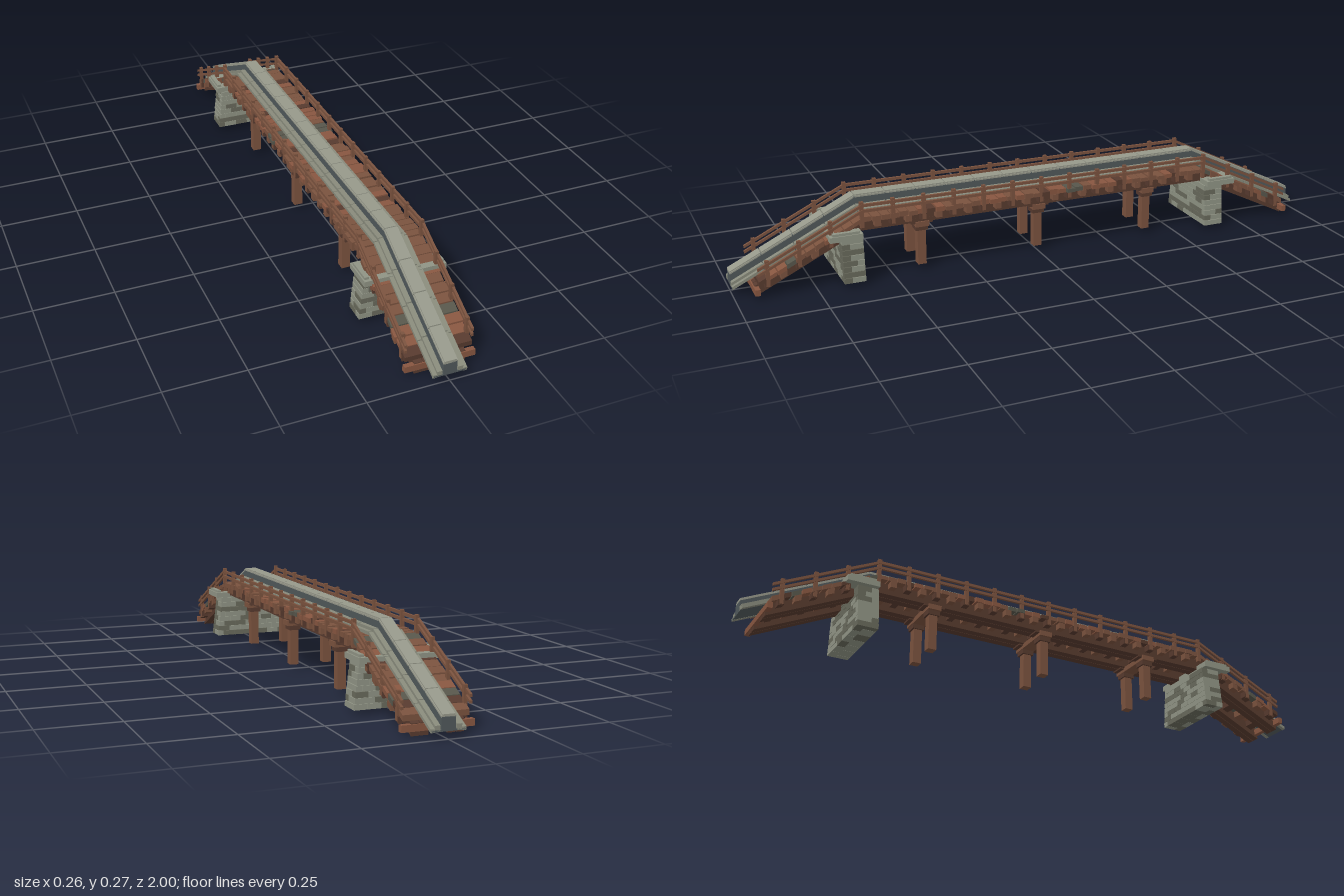
import * as THREE from 'three';

const SLOPE = 0.4825, BEND = 0.6;
// height drop of the bridge line: level in the middle, ramps at both ends
const drop = z => -Math.max(0, Math.abs(z) - BEND) * SLOPE;

export function createModel() {
  const root = new THREE.Group();
  let seed = 7;
  const rand = () => (seed = (seed * 16807) % 2147483647) / 2147483647;
  const mat = (name, color) => {
    const m = new THREE.MeshStandardMaterial({ color });
    m.name = name;
    return m;
  };
  const M = {
    wood: mat('brown timber', 0x7a523e),
    rust: mat('reddish timber', 0x875640),
    dark: mat('dark timber', 0x573a2e),
    grey: mat('weathered timber', 0x57564b),
    pale: mat('pale concrete', 0x96988a),
    conc: mat('concrete', 0x888a7b),
    steel: mat('dark side wall', 0x50585a),
    stone: mat('light stone', 0x8f9384),
    stone2: mat('dark stone', 0x68695b),
  };
  const group = name => {
    const g = new THREE.Group();
    g.name = name;
    root.add(g);
    return g;
  };
  const box = (parent, name, m, x0, x1, y0, y1, z0, z1) => {
    const mesh = new THREE.Mesh(new THREE.BoxGeometry(x1 - x0, y1 - y0, z1 - z0), m);
    mesh.position.set((x0 + x1) / 2, (y0 + y1) / 2, (z0 + z1) / 2);
    mesh.name = name;
    parent.add(mesh);
    return mesh;
  };
  // box whose ends follow the bridge line (must not span a bend)
  const slanted = (parent, name, m, x0, x1, y0, y1, z0, z1) => {
    const g = new THREE.BoxGeometry(x1 - x0, y1 - y0, z1 - z0);
    g.translate((x0 + x1) / 2, (y0 + y1) / 2, (z0 + z1) / 2);
    const p = g.attributes.position;
    for (let i = 0; i < p.count; i++) p.setY(i, p.getY(i) + drop(p.getZ(i)));
    g.computeVertexNormals();
    const mesh = new THREE.Mesh(g, m);
    mesh.name = name;
    parent.add(mesh);
  };
  // long member over both ramps and the level part
  const run = (parent, name, m, x0, x1, y0, y1, end) => {
    for (const [a, b] of [[-end, -BEND], [-BEND, BEND], [BEND, end]])
      slanted(parent, name, m, x0, x1, y0, y1, a, b);
  };

  // guide beam: dark web, pale top slabs and stepped flanges in 0.1 lengths
  const beam = group('guideBeam');
  run(beam, 'web', M.steel, -0.021, 0.021, 0.222, 0.257, 1);
  run(beam, 'beamBase', M.steel, -0.05, 0.05, 0.217, 0.222, 1);
  for (let i = -10; i < 10; i++) {
    const a = i / 10 + (i === -10 ? 0 : 0.0015);
    const b = (i + 1) / 10 - (i === 9 ? 0 : 0.0015);
    slanted(beam, 'topSlab', M.pale, -0.022, 0.022, 0.255, 0.26, a, b);
    slanted(beam, 'topSlab', M.pale, -0.019, 0.019, 0.26, 0.264, a, b);
    for (const s of [-1, 1]) {
      const side = (x0, x1, y0, y1) => slanted(beam, 'flange', M.conc,
        Math.min(s * x0, s * x1), Math.max(s * x0, s * x1), y0, y1, a, b);
      side(0.024, 0.04, 0.218, 0.235);
      side(0.04, 0.053, 0.216, 0.226);
    }
  }

  // deck planks with slightly uneven lengths and mixed timber
  const deck = group('deck');
  const planks = [M.wood, M.rust, M.wood, M.dark, M.rust, M.grey, M.wood];
  const pitch = 0.03;
  for (let i = 0; i < 62; i++) {
    const z = -0.93 + i * pitch;
    const w = 0.1 + rand() * 0.009, top = 0.213 + rand() * 0.005;
    slanted(deck, 'plank', planks[Math.floor(rand() * planks.length)],
      -w, w, 0.201, top, z + 0.0015, z + pitch - 0.0015);
  }

  // stringers and cross joists under the deck
  const frame = group('underframe');
  for (const s of [-1, 1])
    for (const x of [0.04, 0.067])
      run(frame, 'stringer', M.dark, s * x - 0.0125, s * x + 0.0125, 0.165, 0.2, 0.938);
  for (let i = -18; i <= 18; i++) {
    const z = i * 0.05;
    if (Math.abs(Math.abs(z) - BEND) < 0.01) continue;
    slanted(frame, 'joist', i % 2 ? M.wood : M.dark, -0.104, 0.104, 0.181, 0.201, z - 0.01, z + 0.01);
  }
  for (const s of [-1, 1])
    box(frame, 'endHeader', M.rust, -0.11, 0.11, 0.015, 0.035, s * 0.934 - 0.008, s * 0.934 + 0.008);

  // railings
  const rails = group('railings');
  for (const s of [-1, 1]) {
    for (let i = -9; i <= 9; i++) {
      const z = i / 10, y = drop(z);
      box(rails, 'railPost', M.wood, s * 0.1 - 0.0055, s * 0.1 + 0.0055,
        0.183 + y, 0.267 + y, z - 0.006, z + 0.006);
    }
    for (const y of [0.233, 0.251])
      run(rails, 'rail', M.wood, s * 0.103 - 0.004, s * 0.103 + 0.004, y, y + 0.009, 0.93);
  }

  // timber bents
  for (const z of [-0.4, 0, 0.4]) {
    const bent = group('trestle');
    box(bent, 'capBeam', M.wood, -0.085, 0.085, 0.15, 0.167, z - 0.022, z + 0.022);
    for (const s of [-1, 1]) {
      const x = s * 0.058;
      box(bent, 'trestlePost', M.wood, x - 0.014, x + 0.014, 0.018, 0.15, z - 0.014, z + 0.014);
      box(bent, 'postCollar', M.dark, x - 0.019, x + 0.019, 0.135, 0.15, z - 0.02, z + 0.02);
      box(bent, 'corbel', M.dark, x - 0.022, x + 0.022, 0.16, 0.178, z - 0.036, z + 0.036);
    }
  }

  // masonry piers in running bond, stepping in towards the top
  for (const s of [-1, 1]) {
    const pier = group('pier');
    const zSpan = (a, b) => s > 0 ? [a, b] : [-b, -a];
    const rows = 8, h = 0.142 / rows, n = 6;
    for (let r = 0; r < rows; r++) {
      const half = 0.128 - r * 0.002, y = 0.015 + r * h, w = 2 * half / n;
      for (let layer = 0; layer < 2; layer++)
        for (let k = 0; k <= n; k++) {
          const shift = (r + layer) % 2 ? 0 : -w / 2;
          const x0 = Math.max(-half, -half + k * w + shift);
          const x1 = Math.min(half, -half + (k + 1) * w + shift);
          if (x1 - x0 < 0.005) continue;
          const cut = r % 2 ? 0.625 : 0.645;
          const [z0, z1] = layer ? zSpan(cut, 0.67) : zSpan(0.602, cut);
          box(pier, 'stoneBlock', rand() < 0.6 ? M.stone : M.stone2,
            x0 + 0.0005, x1 - 0.0005, y + 0.0004, y + h - 0.0004, z0, z1);
        }
    }
    const [c0, c1] = zSpan(0.605, 0.71);
    box(pier, 'pierCap', M.stone, -0.13, 0.13, 0.157, 0.175, c0, c1);
    for (const t of [-1, 1])
      box(pier, 'capBlock', M.stone, t * 0.119 - 0.007, t * 0.119 + 0.007, 0.175, 0.183, c0 + 0.01, c1 - 0.01);
  }

  // stand the lowest point on the ground
  root.updateMatrixWorld(true);
  const low = new THREE.Box3().setFromObject(root).min.y;
  for (const c of root.children) c.position.y -= low;
  return root;
}
